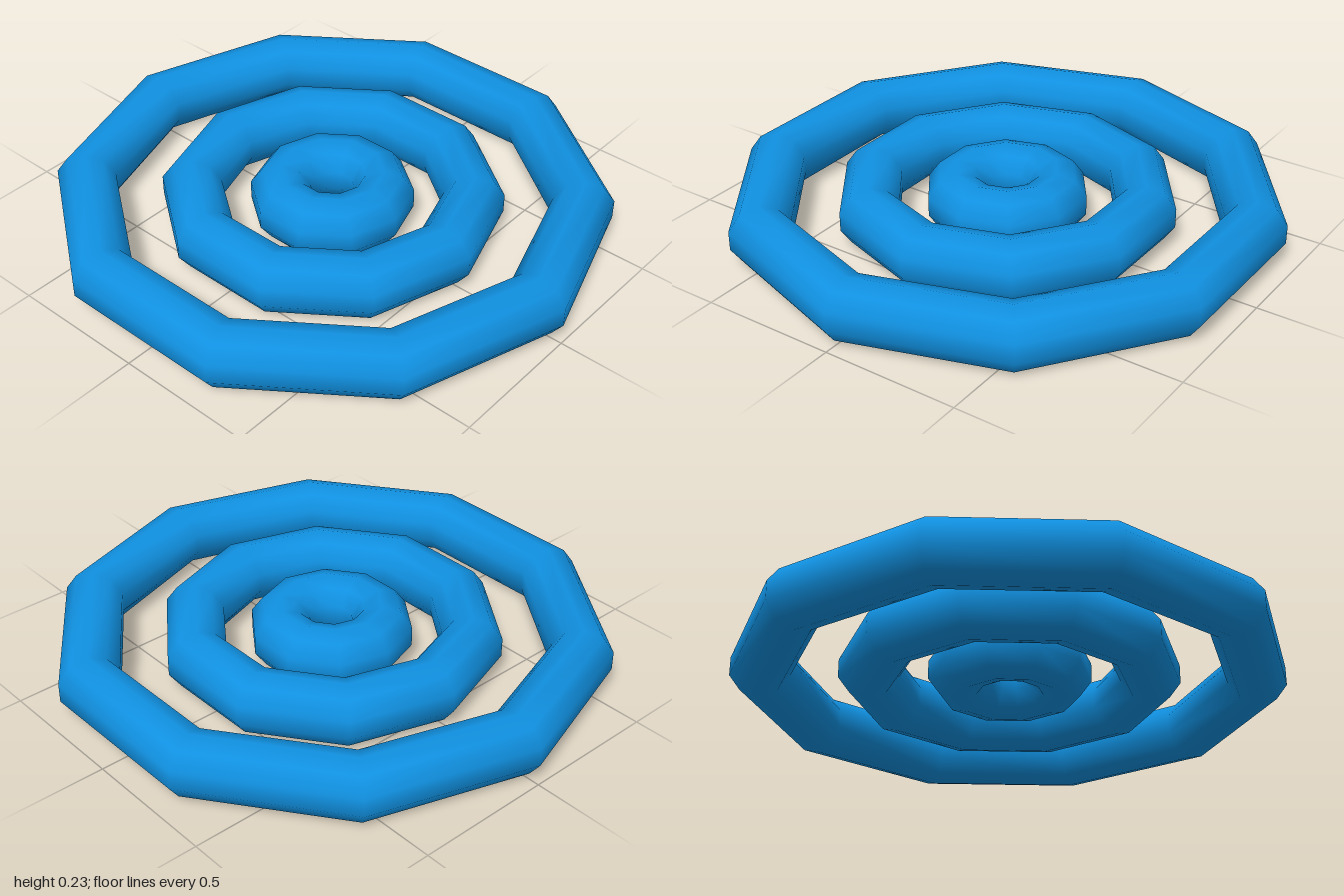
import * as THREE from 'three';
import { mergeVertices } from 'three/addons/utils/BufferGeometryUtils.js';

const SIDES = 10;   // sides of each ring and of its tube
const TUBE = 0.113; // tube radius

// Ten-sided ring with a ten-sided tube, a flat facing outwards, smooth normals
function ringGeometry(radius) {
  const profile = [];
  for (let i = 0; i <= SIDES; i++) {
    const a = ((i % SIDES) + 0.5) * 2 * Math.PI / SIDES;
    profile.push(new THREE.Vector2(radius + TUBE * Math.cos(a), TUBE + TUBE * Math.sin(a)));
  }
  const lathe = new THREE.LatheGeometry(profile, SIDES, Math.PI / 2);
  // weld the seams so the shading runs on around the tube
  lathe.deleteAttribute('normal');
  lathe.deleteAttribute('uv');
  const ring = mergeVertices(lathe, 1e-4);
  ring.computeVertexNormals();
  return ring;
}

export function createModel() {
  const model = new THREE.Group();
  model.name = 'concentricRings';
  const blue = new THREE.MeshStandardMaterial({ color: 0x1090e0 });

  const rings = { outerRing: 0.8925, middleRing: 0.507, innerRing: 0.186 };
  for (const [name, radius] of Object.entries(rings)) {
    const mesh = new THREE.Mesh(ringGeometry(radius), blue);
    mesh.name = name;
    model.add(mesh);
  }
  return model;
}
